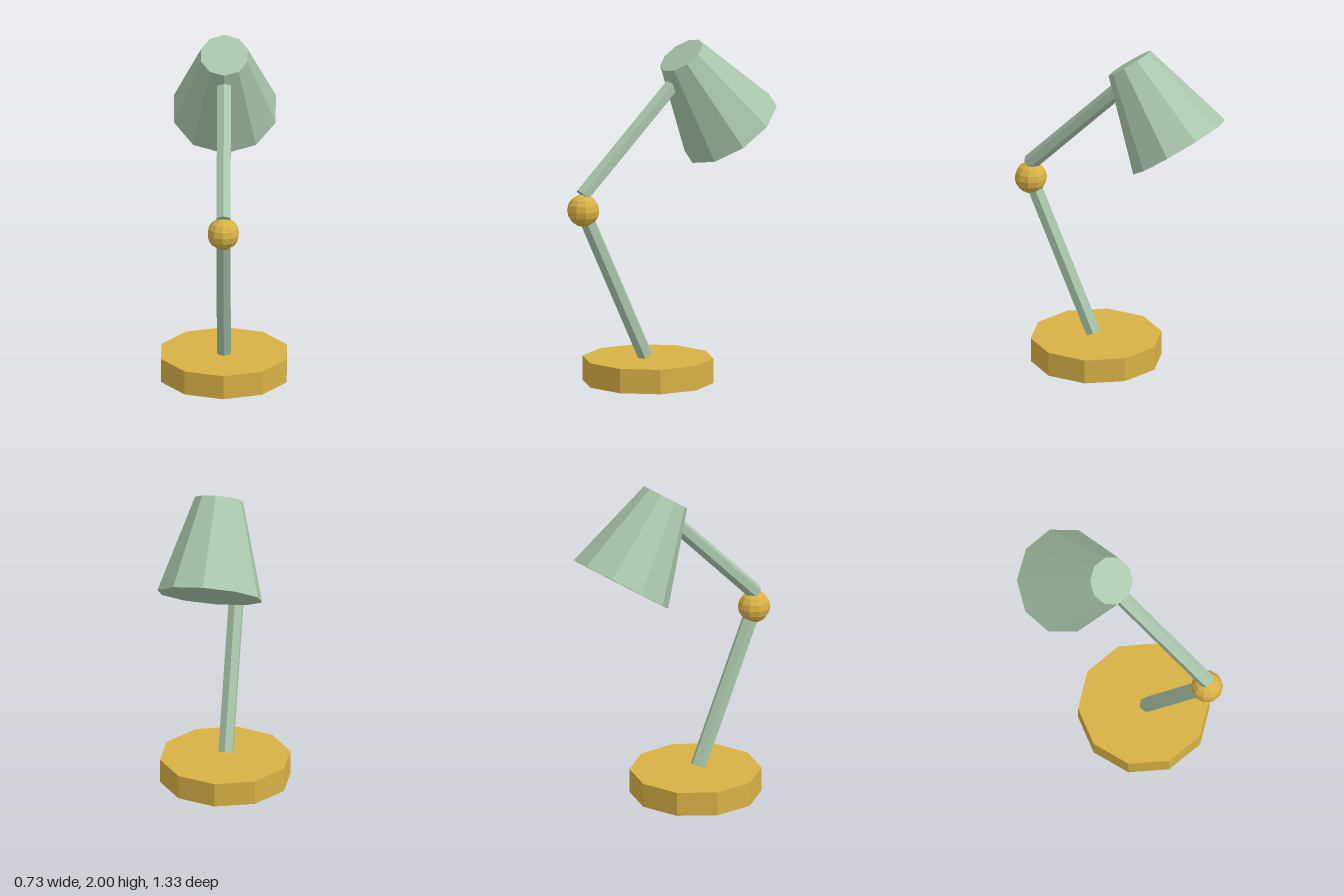
import * as THREE from 'three';

export function createModel() {
  const lamp = new THREE.Group();
  lamp.name = 'deskLamp';

  const sageGreen = new THREE.MeshStandardMaterial({ color: 0xa9c6ab, flatShading: true });
  sageGreen.name = 'sageGreen';
  const brass = new THREE.MeshStandardMaterial({ color: 0xd9b145, flatShading: true });
  brass.name = 'brass';

  const add = (name, geometry, material, y, z) => {
    const mesh = new THREE.Mesh(geometry, material);
    mesh.name = name;
    mesh.position.set(0, y, z);
    lamp.add(mesh);
    return mesh;
  };

  // Straight closed cylinder or cone between two [y, z] points in the x = 0 plane
  const addBetween = (name, material, from, to, rFrom, rTo, sides) => {
    const dy = to[0] - from[0], dz = to[1] - from[1];
    const geometry = new THREE.CylinderGeometry(rTo, rFrom, Math.hypot(dy, dz), sides);
    const mesh = add(name, geometry, material, (from[0] + to[0]) / 2, (from[1] + to[1]) / 2);
    mesh.rotation.x = Math.atan2(dz, dy);
  };

  // Ten-sided foot
  add('base', new THREE.CylinderGeometry(0.385, 0.385, 0.145, 10), brass, 0.0725, 0.14);

  // Hexagonal arms, meeting near the elbow
  addBetween('lowerArm', sageGreen, [0.157, 0.16], [1.06, 0.574], 0.047, 0.047, 6);
  addBetween('upperArm', sageGreen, [1.151, 0.577], [1.787, -0.059], 0.047, 0.047, 6);

  // Ball joint, turned so a seam faces the front
  const joint = add('elbowJoint', new THREE.SphereGeometry(0.095, 10, 8), brass, 1.06, 0.572);
  joint.rotation.y = Math.PI / 2;

  // Closed, tilted lamp shade
  addBetween('shade', sageGreen, [1.452, -0.41], [1.92, -0.081], 0.312, 0.143, 10);

  return lamp;
}
